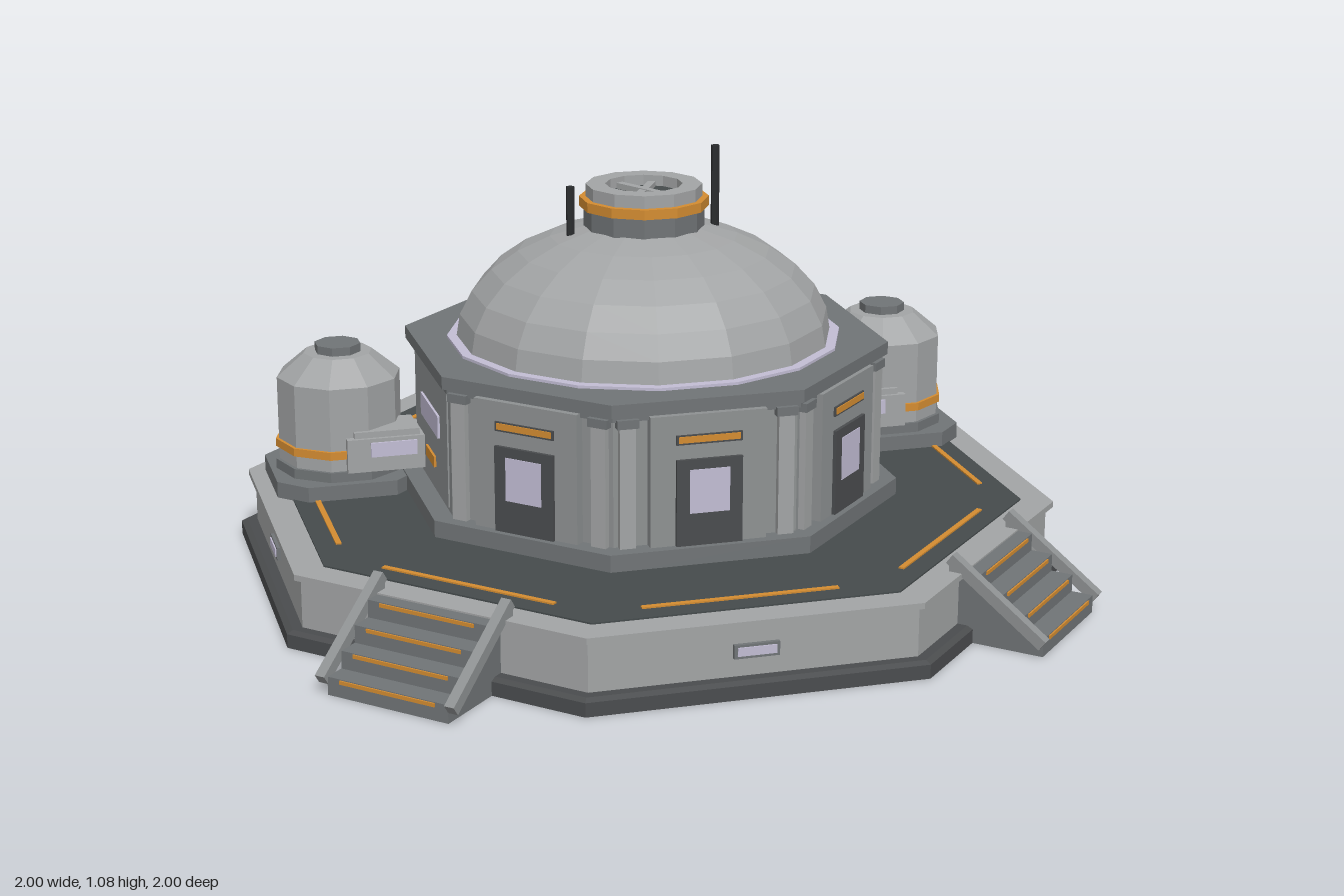
import * as THREE from 'three';

const mat = (name, color, extra = {}) => {
  const m = new THREE.MeshStandardMaterial({ color, flatShading: true, ...extra });
  m.name = name;
  return m;
};

export function createModel() {
  const M = {
    light: mat('light grey', 0xa2a4a5),
    panel: mat('panel grey', 0x8e9192),
    mid: mat('mid grey', 0x707476),
    dark: mat('dark grey', 0x4a4c4e),
    deck: mat('deck grey', 0x454b4c),
    black: mat('near black', 0x2b2d2f),
    glow: mat('pale lavender', 0xc2bdd4),
    orange: mat('orange', 0xd38c31),
  };
  const root = new THREE.Group();
  root.name = 'domeOutpost';

  const add = (parent, name, geo, material, x = 0, y = 0, z = 0) => {
    const m = new THREE.Mesh(geo, material);
    m.name = name;
    m.position.set(x, y, z);
    parent.add(m);
    return m;
  };
  const group = (parent, name, x = 0, y = 0, z = 0, turn = 0) => {
    const g = new THREE.Group();
    g.name = name;
    g.position.set(x, y, z);
    g.rotation.y = turn;
    parent.add(g);
    return g;
  };
  // Box given by its centre in x and z and by its bottom and top
  const box = (p, name, m, w, d, y0, y1, x = 0, z = 0) =>
    add(p, name, new THREE.BoxGeometry(w, y1 - y0, d), m, x, (y0 + y1) / 2, z);
  // Upright prism with a flat side to the front, sized by its apothem
  const prism = (p, name, m, n, a0, y0, y1, a1 = a0) => {
    const k = 1 / Math.cos(Math.PI / n);
    const g = new THREE.CylinderGeometry(a1 * k, a0 * k, y1 - y0, n).rotateY(Math.PI / n);
    return add(p, name, g, m, 0, (y0 + y1) / 2, 0);
  };
  // Faceted turned shape, listed as [apothem, height] from bottom to top
  const turned = (p, name, m, n, pts) => {
    const k = 1 / Math.cos(Math.PI / n);
    const v = pts.map(([r, y]) => new THREE.Vector2(r * k, y));
    return add(p, name, new THREE.LatheGeometry(v, n, Math.PI / n), m);
  };

  // Platform
  const platform = group(root, 'platform');
  prism(platform, 'skirt', M.dark, 8, 1, 0, 0.035);
  prism(platform, 'skirtBevel', M.dark, 8, 1, 0.035, 0.042, 0.985);
  prism(platform, 'platformBody', M.light, 8, 0.96, 0.04, 0.168);
  prism(platform, 'platformRim', M.light, 8, 0.977, 0.166, 0.181);
  prism(platform, 'deckPlate', M.deck, 8, 0.9, 0.17, 0.185);
  for (let i = 0; i < 8; i++) {
    const side = group(platform, 'platformSide', 0, 0, 0, (i * Math.PI) / 4);
    box(side, 'deckStripe', M.orange, 0.48, 0.014, 0.183, 0.189, 0, 0.842);
    box(side, 'lampFrame', M.mid, 0.11, 0.012, 0.088, 0.122, 0, 0.964);
    box(side, 'lamp', M.glow, 0.094, 0.009, 0.095, 0.116, 0, 0.969);
  }

  // Main building
  const hall = group(root, 'hall');
  prism(hall, 'plinth', M.mid, 8, 0.605, 0.18, 0.228);
  prism(hall, 'walls', M.panel, 8, 0.555, 0.22, 0.56);
  prism(hall, 'eaves', M.mid, 8, 0.565, 0.545, 0.562);
  prism(hall, 'roofSlab', M.mid, 8, 0.577, 0.56, 0.592);
  for (let i = 0; i < 8; i++) {
    const side = group(hall, 'hallSide', 0, 0, 0, (i * Math.PI) / 4);
    if ([0, 1, 7].includes(i)) {
      // Door bays
      box(side, 'doorBay', M.panel, 0.29, 0.03, 0.228, 0.555, 0, 0.566);
      for (const s of [-1, 1]) {
        box(side, 'pillar', M.light, 0.04, 0.026, 0.228, 0.548, s * 0.198, 0.559);
        box(side, 'pillarCap', M.mid, 0.054, 0.034, 0.53, 0.552, s * 0.198, 0.56);
      }
      box(side, 'doorFrame', M.dark, 0.165, 0.014, 0.228, 0.445, 0, 0.583);
      box(side, 'doorWindow', M.glow, 0.1, 0.008, 0.31, 0.42, 0, 0.588);
      box(side, 'doorSignFrame', M.dark, 0.165, 0.008, 0.482, 0.506, 0, 0.582);
      box(side, 'doorSign', M.orange, 0.154, 0.009, 0.487, 0.503, 0, 0.584);
    } else if (i % 2 === 0) {
      // Long windows
      box(side, 'sidePanel', M.panel, 0.4, 0.01, 0.24, 0.54, 0, 0.554);
      box(side, 'longWindow', M.glow, 0.22, 0.008, 0.392, 0.45, 0, 0.561);
      if (i !== 4) box(side, 'sideMark', M.orange, 0.105, 0.008, 0.298, 0.326, 0, 0.561);
    } else {
      box(side, 'sidePanel', M.panel, 0.4, 0.01, 0.24, 0.54, 0, 0.554);
    }
  }

  // Dome with its light ring
  prism(hall, 'domeLightRing', M.glow, 16, 0.495, 0.59, 0.599);
  const domePts = [];
  for (let i = 0; i <= 6; i++) {
    const a = (i / 6) * 1.26;
    domePts.push([0.472 * Math.cos(a), 0.59 + 0.305 * Math.sin(a)]);
  }
  turned(hall, 'dome', M.light, 16, domePts);

  // Roof vent
  const vent = group(root, 'vent');
  prism(vent, 'ventCollar', M.mid, 12, 0.148, 0.85, 0.935);
  prism(vent, 'ventBand', M.orange, 12, 0.159, 0.93, 0.955);
  turned(vent, 'ventRim', M.light, 12,
    [[0.143, 0.95], [0.143, 0.987], [0.095, 0.987], [0.095, 0.95]]);
  prism(vent, 'ventFloor', M.deck, 12, 0.097, 0.94, 0.96);
  for (const s of [-1, 1]) {
    box(vent, 'ventCrossBar', M.light, 0.02, 0.18, 0.958, 0.974 + s * 0.001).rotation.y = s * 0.5;
  }

  // Antennas
  for (const [x, top] of [[-0.192, 0.99], [0.188, 1.075]]) {
    add(root, 'antenna', new THREE.CylinderGeometry(0.011, 0.011, top - 0.84, 6),
      M.black, x, (top + 0.84) / 2, 0);
  }

  // Storage tanks with their links to the hall
  for (const s of [-1, 1]) {
    const tank = group(root, s > 0 ? 'leftTank' : 'rightTank', s * 0.75, 0, -0.27);
    const c = 0.185, k = 0.115;
    const outline = [[c, k], [k, c], [-k, c], [-c, k], [-c, -k], [-k, -c], [k, -c], [c, -k]];
    const foot = new THREE.Shape(outline.map(([x, y]) => new THREE.Vector2(x, y)));
    add(tank, 'tankFoot', new THREE.ExtrudeGeometry(foot, { depth: 0.042, bevelEnabled: false })
      .rotateX(-Math.PI / 2), M.mid, 0, 0.182, 0);
    prism(tank, 'tankSocket', M.mid, 10, 0.162, 0.222, 0.25);
    prism(tank, 'tankBody', M.light, 10, 0.153, 0.24, 0.47);
    prism(tank, 'tankShoulder', M.light, 10, 0.153, 0.47, 0.53, 0.085);
    prism(tank, 'tankBand', M.orange, 10, 0.161, 0.284, 0.305);
    prism(tank, 'tankCap', M.mid, 8, 0.056, 0.525, 0.552);
    // Link passage
    const link = group(root, 'link', s * 0.655, 0, -0.165);
    box(link, 'linkBody', M.light, 0.21, 0.14, 0.25, 0.338);
    box(link, 'linkRoof', M.light, 0.17, 0.12, 0.33, 0.354);
    box(link, 'linkWindow', M.glow, 0.12, 0.008, 0.29, 0.328, s * -0.015, 0.072);
  }

  // Stairs on the two front diagonals
  for (const s of [-1, 1]) {
    const stairs = group(root, s > 0 ? 'leftStairs' : 'rightStairs', 0, 0, 0, (s * Math.PI) / 4);
    for (let i = 0; i < 4; i++) {
      const front = 1.18 - i * 0.055, top = 0.045 + i * 0.044;
      box(stairs, 'step', M.mid, 0.33, front - 0.94, i ? top - 0.044 : 0, top, 0, (front + 0.94) / 2);
      box(stairs, 'stepEdge', M.orange, 0.26, 0.006, top - 0.011, top - 0.002, 0, front + 0.001);
    }
    for (const e of [-1, 1]) {
      const rise = 0.17, run = 0.235;
      const rail = add(stairs, 'stairRail',
        new THREE.BoxGeometry(0.026, 0.028, Math.hypot(rise, run) + 0.01), M.panel, e * 0.177, 0.125, 1.065);
      rail.rotation.x = Math.atan2(rise, run);
      box(stairs, 'railPost', M.panel, 0.024, 0.024, 0.17, 0.21, e * 0.177, 0.955);
    }
  }
  return root;
}
